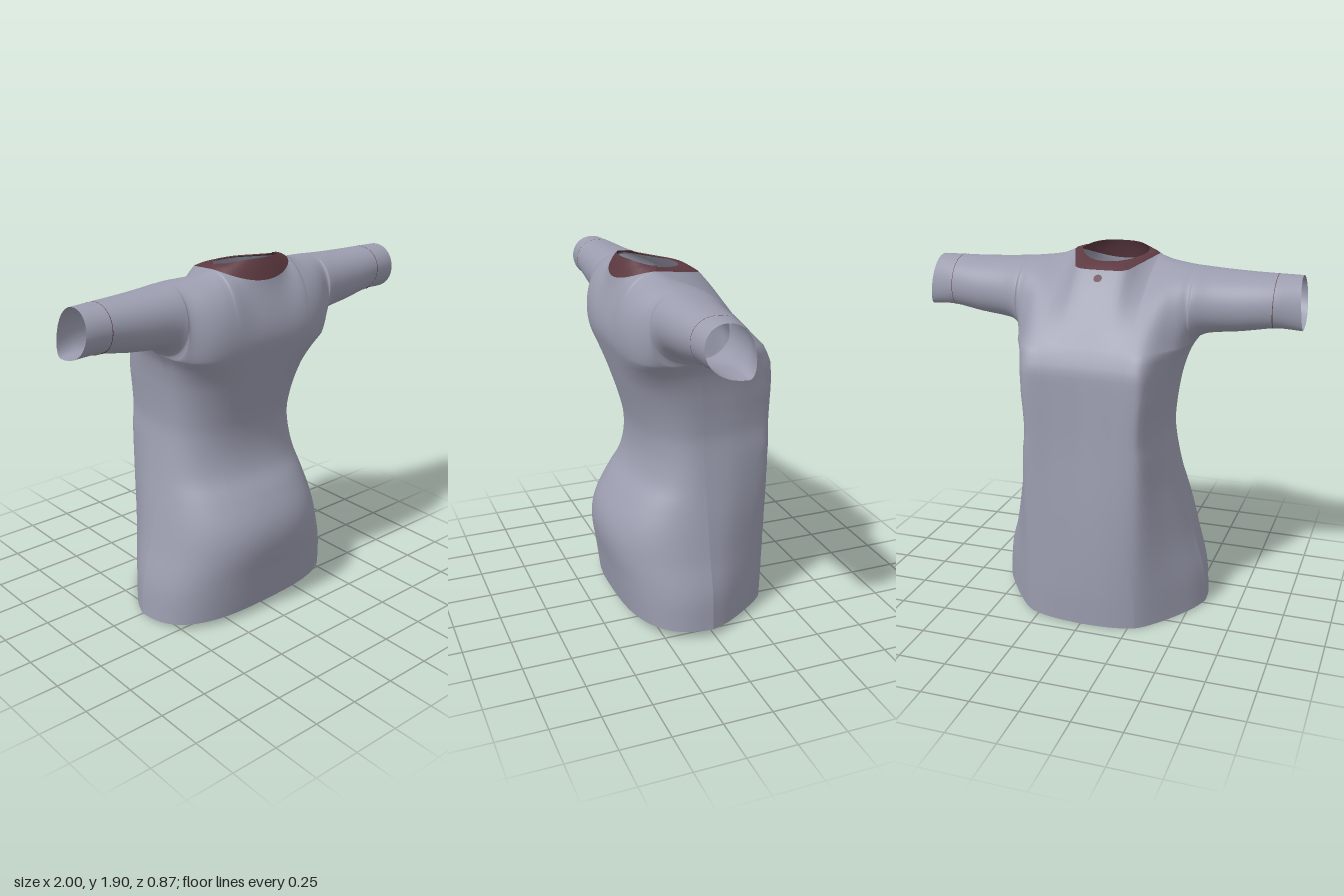
import * as THREE from 'three';
import { mergeGeometries, mergeVertices } from 'three/addons/utils/BufferGeometryUtils.js';

const { lerp, smoothstep, clamp } = THREE.MathUtils;

// Smooth curve through [position, value] pairs
function track(...k) {
  const slope = (i) => {
    const a = k[Math.max(i - 1, 0)], b = k[Math.min(i + 1, k.length - 1)];
    return (b[1] - a[1]) / (b[0] - a[0]);
  };
  return (p) => {
    p = clamp(p, k[0][0], k[k.length - 1][0]);
    let i = 0;
    while (i < k.length - 2 && p > k[i + 1][0]) i++;
    const h = k[i + 1][0] - k[i][0], t = (p - k[i][0]) / h, t2 = t * t, t3 = t2 * t;
    return (2 * t3 - 3 * t2 + 1) * k[i][1] + (t3 - 2 * t2 + t) * h * slope(i)
      + (3 * t2 - 2 * t3) * k[i + 1][1] + (t3 - t2) * h * slope(i + 1);
  };
}

// Surface from columns of points; side -1 turns the faces the other way
function sheet(columns, side) {
  const rows = columns[0].length, index = [];
  for (let i = 0; i < columns.length - 1; i++) {
    for (let j = 0; j < rows - 1; j++) {
      const a = i * rows + j, b = a + rows;
      if (side > 0) index.push(a, b, b + 1, a, b + 1, a + 1);
      else index.push(a, b + 1, b, a, a + 1, b + 1);
    }
  }
  const geo = new THREE.BufferGeometry();
  geo.setAttribute('position', new THREE.Float32BufferAttribute(columns.flat(2), 3));
  geo.setIndex(index);
  return geo;
}

function weld(sheets) {
  const geo = mergeVertices(mergeGeometries(sheets), 1e-4);
  geo.computeVertexNormals();
  return geo;
}

// Torso measures by height
const armpitY = 1.45, armpitX = 0.46, neckX = 0.23;
const halfWidth = track([0, 0.57], [0.2, 0.555], [0.4, 0.505], [0.6, 0.46], [0.8, 0.412], [1, 0.375],
  [1.1, 0.376], [1.2, 0.385], [1.3, 0.4], [1.4, 0.428], [armpitY, armpitX]);
const frontZ = track([0, 0.37], [0.2, 0.4], [0.43, 0.437], [0.55, 0.42], [0.68, 0.35], [0.77, 0.285],
  [0.88, 0.252], [1, 0.25], [1.1, 0.27], [1.3, 0.33], [armpitY, 0.375]);
const backZ = track([0, -0.425], [0.2, -0.432], [0.6, -0.43], [1, -0.418], [1.3, -0.413], [1.37, -0.406],
  [armpitY, -0.37]);
const sideZ = track([0, 0.01], [1, 0], [1.3, 0.02], [armpitY, 0.07]);
const roundness = track([0, 2.8], [0.3, 2.55], [0.6, 2.3], [1, 2.3], [1.3, 2.7], [armpitY, 3.8]);

// Shoulder and sleeve measures by distance from the middle
const sleeveTop = track([0.23, 1.86], [0.3, 1.836], [0.5, 1.815], [0.75, 1.803], [1, 1.8]);
const sleeveBottom = track([armpitX, armpitY], [0.49, 1.483], [0.54, 1.502], [0.7, 1.522], [0.87, 1.55], [1, 1.545]);
const ridgeZ = track([0.23, 0.19], [0.3, 0.165], [0.5, 0.15], [1, 0.145]);
const sleeveFront = track([0.2, 0.365], [0.35, 0.34], [0.46, 0.303], [0.55, 0.288], [1, 0.25]);
const sleeveBack = track([0.2, -0.22], [0.4, -0.15], [0.46, -0.105], [0.55, -0.07], [0.8, -0.03], [1, 0.015]);

// Rear edges of the collar, outer and inner, by distance from the middle
const collarBackZ = track([0, -0.088], [0.1, -0.083], [0.14, -0.06], [0.16, -0.005], [0.2, 0.105], [neckX, 0.19]);
const openingBackZ = track([0, -0.005], [0.06, 0.002], [0.1, 0.02], [0.15, 0.06], [0.2, 0.115], [neckX, 0.165]);

// Point of the torso; a runs from -1 to 1 across the width
function torsoPoint(a, y, side) {
  const w = halfWidth(y), u = Math.abs(a), zs = sideZ(y);
  let z;
  if (side > 0) {
    const p = roundness(y);
    z = zs + (frontZ(y) - zs) * Math.pow(Math.max(0, 1 - u ** p), 1 / p);
  } else {
    // Rounded at the hem, flat with a hollow between the shoulder blades
    const c = Math.min(0.31, 0.8 * w) / w, k = smoothstep(y, 0.1, 1.3);
    const across = track([0, lerp(1, 0.94, k)], [c * 0.5, lerp(0.98, 0.965, k)], [c * 0.9, lerp(0.91, 0.99, k)],
      [c + 0.1 * (1 - c), lerp(0.81, 0.94, k)], [c + 0.45 * (1 - c), lerp(0.56, 0.74, k)],
      [c + 0.85 * (1 - c), lerp(0.21, 0.41, k)], [1, 0]);
    z = zs + (backZ(y) - zs) * across(u);
  }
  const lift = Math.max(0, 1 - y / 0.4) * Math.max(0, 0.045 * (z + 0.42) / 0.8 + 0.015 * a);
  return [a * w, y + lift, z];
}

// Outer edge of the collar
function collarOuter(x, side) {
  const u = Math.min(neckX, Math.abs(x)), t = u / neckX;
  if (side > 0) return [x, 1.8 + 0.06 * t * t, 0.19 + 0.143 * Math.sqrt(1 - t * t)];
  const z = collarBackZ(u);
  return [x, 1.86 - 0.05 * (0.19 - z) / 0.278, z];
}

// Column over the shoulder, or half a ring of the sleeve
function upperColumn(x, side, steps = 20, grow = 0) {
  const u = Math.abs(x), a = Math.min(1, u / armpitX), arm = u >= armpitX;
  const [, y0, z0] = arm ? [0, sleeveBottom(u), lerp(0.07, 0.05, (u - armpitX) / 0.54)] : torsoPoint(x / armpitX, armpitY, side);
  const [, y3, z3] = u <= neckX ? collarOuter(x, side) : [0, sleeveTop(u), ridgeZ(u)];
  const bulge = ((side > 0 ? sleeveFront(u) : sleeveBack(u)) - (z0 + z3) / 8) / 0.75;
  const wb = side > 0 ? a ** 8 : a ** 6;
  const wt = side > 0 ? smoothstep(u, 0.08, 0.32) : smoothstep(u, 0.2, 0.48);
  const q = Math.min(1.7, (u / neckX) ** 2);
  const free = side > 0
    ? [y0 + 0.13, z0 + 0.05, 1.69 + 0.06 * q, 0.352]
    : [y0 + 0.13, z0 + 0.08 + 0.03 * q, 1.716 + 0.035 * q, -0.186 + 0.09 * q];
  const curve = new THREE.CubicBezierCurve(
    new THREE.Vector2(y0, z0),
    new THREE.Vector2(lerp(free[0], y0, wb), lerp(free[1], bulge, wb)),
    new THREE.Vector2(lerp(free[2], y3, wt), lerp(free[3], bulge, wt)),
    new THREE.Vector2(y3, z3));
  return curve.getPoints(steps).map((p) => {
    const slant = 0.025 * smoothstep(u, 0.85, 1) * clamp((p.x - y0) / (y3 - y0), 0, 1);
    const out = [p.x - 1.68, p.y - 0.12].map((d) => d * grow);
    return [x - Math.sign(x) * slant, p.x + out[0], p.y + out[1]];
  });
}

const mirrored = (list) => [...list.slice(1).reverse().map((v) => -v), ...list];

export function createModel() {
  const group = new THREE.Group();
  const cloth = new THREE.MeshStandardMaterial({ color: 0x9c9eb0, side: THREE.DoubleSide });
  cloth.name = 'grey cloth';
  const trim = new THREE.MeshStandardMaterial({ color: 0x5e3a42, side: THREE.DoubleSide });
  trim.name = 'maroon trim';
  const add = (name, geo, material) => {
    const mesh = new THREE.Mesh(geo, material);
    mesh.name = name;
    group.add(mesh);
  };

  const neck = Array.from({ length: 13 }, (_, i) => neckX * Math.sin(i * Math.PI / 24));
  const body = [...neck, 0.25, 0.27, 0.29, 0.31, 0.33, 0.35, 0.37, 0.39, 0.41, 0.425, 0.438, 0.447, 0.453, 0.457, 0.459, armpitX];
  const arms = [0.467, 0.477, 0.49, 0.515, 0.54, 0.58, 0.64, 0.7, 0.77, 0.83, 0.87, 0.9, 0.95, 1];

  // Shirt: front and back of the torso, then the yoke with both sleeves
  const heights = Array.from({ length: 49 }, (_, i) => armpitY * i / 48);
  const sheets = [];
  for (const side of [1, -1]) {
    sheets.push(sheet(mirrored(body).map((x) => heights.map((y) => torsoPoint(x / armpitX, y, side))), side));
    sheets.push(sheet(mirrored([...body, ...arms]).map((x) => upperColumn(x, side)), side));
  }
  add('shirt', weld(sheets), cloth);

  // Collar band around the neck opening
  const collar = [1, -1].map((side) => sheet(mirrored(neck).map((x) => {
    const t = Math.abs(x) / neckX, c = Math.sqrt(Math.max(0, 1 - t * t));
    const outer = collarOuter(x, side);
    const inner = side > 0
      ? [x * 0.78, 1.9 - 0.025 * t ** 4, 0.165 + 0.13 * c]
      : [x * 0.78, 1.875 - 0.035 * c, openingBackZ(Math.abs(x))];
    return [0, 0.33, 0.67, 1].map((s) => outer.map((v, i) =>
      lerp(v, inner[i], s) + (i === 1 ? 0.008 * Math.sin(Math.PI * s) : 0)));
  }), side));
  add('collar', weld(collar), trim);

  // Fine stripe around each sleeve, wider on the underside
  for (const [name, s] of [['leftSleeveStripe', 1], ['rightSleeveStripe', -1]]) {
    const stripe = [1, -1].map((side) => {
      const columns = [0.854, 0.857].map((x, i) => upperColumn(x * s, side, 40, 0.012).map(([px, y, z]) =>
        [px + s * (i ? 0.026 : -0.004) * (side > 0 ? 1 - smoothstep(y, 1.55, 1.61) : 0), y, z]));
      return sheet(s > 0 ? columns : columns.reverse(), side);
    });
    add(name, weld(stripe), trim);
  }

  // Small spot below the back of the collar
  const spot = new THREE.CircleGeometry(0.022, 12);
  const ring = upperColumn(0, -1, 40);
  const i = ring.findIndex((p) => p[2] > -0.125);
  const [p, q] = [ring[i - 1], ring[i + 1]];
  const normal = new THREE.Vector3(0, q[2] - p[2], p[1] - q[1]).normalize();
  spot.applyQuaternion(new THREE.Quaternion().setFromUnitVectors(new THREE.Vector3(0, 0, 1), normal));
  spot.translate(0, ring[i][1] + normal.y * 0.004, ring[i][2] + normal.z * 0.004);
  add('backSpot', spot, trim);

  return group;
}
